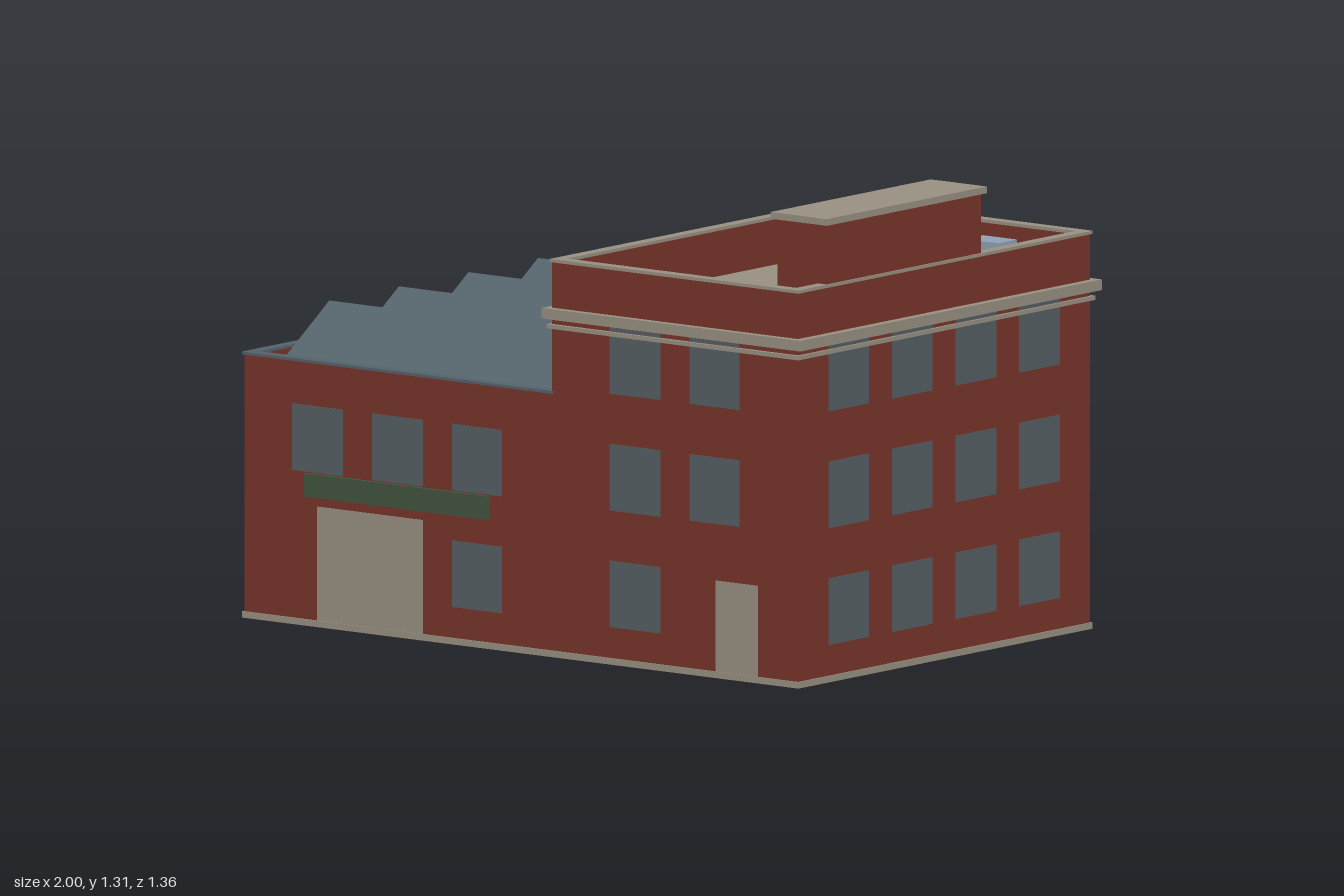
import * as THREE from 'three';

const mat = (name, color) => {
  const m = new THREE.MeshStandardMaterial({ color });
  m.name = name;
  return m;
};

export function createModel() {
  const brick = mat('brick red', 0x783529);
  const stone = mat('stone', 0x9a9183);
  const glass = mat('window grey', 0x566064);
  const slate = mat('slate', 0x55636c);
  const pale = mat('pale blue grey', 0x92a3b4);
  const green = mat('awning green', 0x43563f);

  const model = new THREE.Group();
  model.name = 'brickFactory';

  const add = (name, geometry, material) => {
    const mesh = new THREE.Mesh(geometry, material);
    mesh.name = name;
    model.add(mesh);
    return mesh;
  };

  // Box given by its limits on each axis
  const box = (name, material, [x0, x1], [y0, y1], [z0, z1]) => {
    const g = new THREE.BoxGeometry(x1 - x0, y1 - y0, z1 - z0);
    g.translate((x0 + x1) / 2, (y0 + y1) / 2, (z0 + z1) / 2);
    return add(name, g, material);
  };

  // Rectangular ring, open in the middle
  const ring = (name, material, [x0, x1], [y0, y1], zHalf, t) => {
    const rect = (C, d) => new C([[x0 + d, -zHalf + d], [x1 - d, -zHalf + d], [x1 - d, zHalf - d], [x0 + d, zHalf - d]]
      .map(([x, z]) => new THREE.Vector2(x, z)));
    const shape = rect(THREE.Shape, 0);
    shape.holes.push(rect(THREE.Path, t));
    const g = new THREE.ExtrudeGeometry(shape, { depth: y1 - y0, bevelEnabled: false });
    g.rotateX(-Math.PI / 2).translate(0, y0, 0);
    return add(name, g, material);
  };

  const W = 0.656; // half depth of the walls
  const L = -0.995, M = 0.1, R = 0.975; // left end, join and right end of the walls

  // Walls
  box('plinth', stone, [-1, 0.98], [0, 0.018], [-0.661, 0.661]);
  box('lowWing', brick, [L, M], [0.018, 0.64], [-W, W]);
  ring('lowParapet', brick, [L, M], [0.64, 0.744], W, 0.028);
  ring('lowCoping', slate, [-1, M + 0.004], [0.744, 0.752], 0.661, 0.035);
  box('tallBlock', brick, [M, R], [0.018, 0.975], [-W, W]);

  // Stone bands, flat roof and parapet of the tall block
  box('stringCourse', stone, [0.09, 0.985], [0.929, 0.941], [-0.668, 0.668]);
  box('cornice', stone, [0.08, 1.0], [0.957, 0.987], [-0.678, 0.678]);
  ring('tallParapet', brick, [M, R], [0.987, 1.116], W, 0.026);
  ring('tallCoping', stone, [0.095, 0.98], [1.116, 1.125], 0.661, 0.035);

  // Sawtooth roof: slate slopes rising to the back, upright glazing behind
  const teeth = 4, z0 = 0.625, step = 1.25 / teeth, valley = 0.645, peak = 0.855;
  for (let i = 0; i < teeth; i++) {
    const front = z0 - i * step, back = front - step;
    const profile = new THREE.Shape([[-front, valley], [-back, valley], [-back, peak]]
      .map(([x, y]) => new THREE.Vector2(x, y)));
    const g = new THREE.ExtrudeGeometry(profile, { depth: 1.03, bevelEnabled: false });
    g.rotateY(Math.PI / 2).translate(-0.965, 0, 0);
    add('sawtoothRoof', g, slate);
    box('roofGlazing', pale, [-0.965, 0.065], [valley, peak - 0.002], [back - 0.003, back + 0.001]);
  }

  // Stair house and cooling unit on the flat roof
  box('stairHouse', brick, [0.8, R], [0.98, 1.293], [-0.166, 0.528]);
  box('stairHouseCap', stone, [0.785, 0.985], [1.293, 1.312], [-0.18, 0.54]);
  box('stairHouseDoor', glass, [0.82, 0.955], [0.987, 1.25], [-0.17, -0.164]);
  box('coolingUnit', pale, [0.695, 0.815], [0.987, 1.1], [-0.53, -0.445]);

  // Thin panels on the walls facing z or x; side is +1 or -1
  const T = 0.002;
  const panelZ = (name, material, side, xs, ys) =>
    box(name, material, xs, ys, [side * W - T, side * W + T]);
  const panelX = (name, material, wall, zs, ys) =>
    box(name, material, [wall - T, wall + T], ys, zs);

  const rows = [[0.105, 0.293], [0.435, 0.623], [0.765, 0.952]];
  const lowCols = [[-0.825, -0.645], [-0.54, -0.36], [-0.255, -0.078]];
  const tallCols = [[0.305, 0.485], [0.59, 0.767]];
  const sideCols = [-0.427, -0.142, 0.144, 0.43].map(c => [c - 0.09, c + 0.09]);

  for (const side of [1, -1]) {
    rows.forEach((ys, r) => {
      tallCols.forEach((xs, c) => {
        if (r > 0 || c === 0) panelZ('window', glass, side, xs, ys);
      });
      lowCols.forEach((xs, c) => {
        // the loading door takes the place of two lower front windows
        if (r < 2 && (side < 0 || r === 1 || c === 2)) panelZ('window', glass, side, xs, ys);
      });
    });
    panelZ('door', stone, side, [0.682, 0.832], [0.018, 0.275]);
  }
  rows.forEach((ys, r) => sideCols.forEach(zs => {
    panelX('window', glass, R, zs, ys);
    panelX('window', glass, r < 2 ? L : M, zs, ys);
  }));

  // Loading door with its awning board
  panelZ('loadingDoor', stone, 1, [-0.735, -0.36], [0.018, 0.34]);
  box('awning', green, [-0.775, -0.122], [0.366, 0.432], [W - 0.002, 0.669]);

  return model;
}
